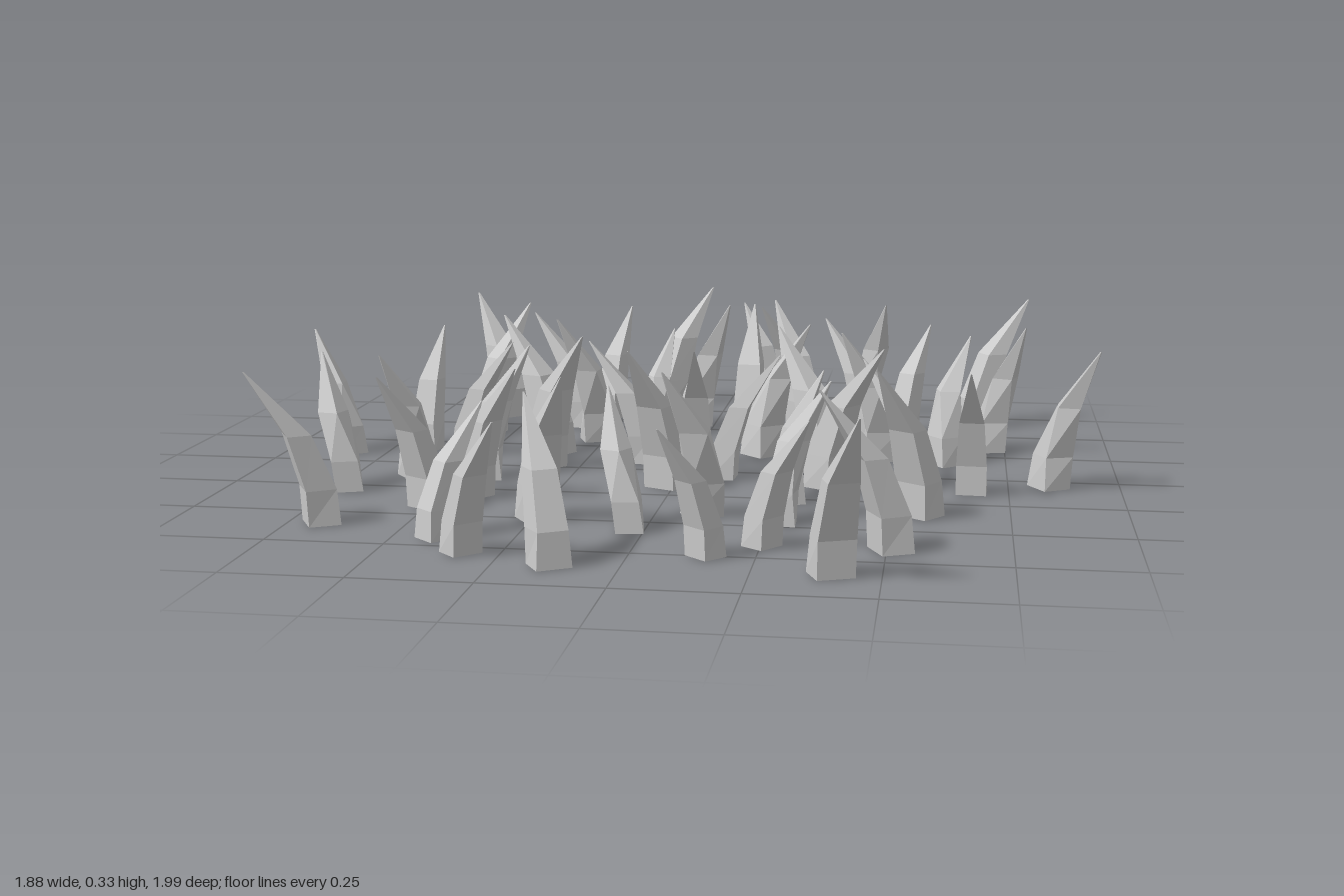
import * as THREE from 'three';

// Each blade: root x, root z, tip x, tip z (hundredths of a unit)
const STRAIGHT = [
  [-18, -81, -5, -93], [13, -89, 3, -100], [22, -83, 11, -71], [-54, -60, -67, -72],
  [-30, -60, -25, -75], [-31, -50, -47, -53], [-59, -38, -48, -52], [26, -52, 15, -66],
  [48, -45, 56, -58], [65, -62, 81, -71], [11, -33, 11, -52], [45, -35, 30, -43],
  [-67, -13, -65, -29], [-31, -14, -48, -23], [-58, -14, -43, -10], [-8, -9, -24, -9],
  [2, -12, 3, 4], [35, -1, 21, -13], [-36, -3, -22, 10], [7, 5, 23, 6],
  [31, 9, 47, 19], [57, 11, 42, 6], [67, 10, 66, 26], [0, 13, -8, 30],
  [-45, 30, -31, 39], [-48, 40, -57, 54], [58, 33, 47, 48], [-26, 47, -16, 62],
  [-65, 58, -81, 67], [-43, 71, -33, 60], [-35, 77, -24, 88], [-12, 89, -21, 74],
  [17, 73, 7, 84], [23, 64, 35, 73], [54, 64, 37, 72], [39, 82, 46, 99],
];
const TWISTED = [
  [38, -79, 44, -69], [-5, -56, 5, -48], [-27, -33, -35, -24], [-11, -36, -9, -46],
  [16, -21, 28, -17], [45, -19, 36, -11], [71, -34, 79, -25], [61, -16, 66, -26],
  [-84, -10, -94, -15], [84, 5, 94, 12], [-61, 13, -66, 23], [-44, 14, -35, 7],
  [-72, 29, -80, 21], [27, 28, 34, 20], [10, 42, 3, 52], [27, 47, 37, 42], [-3, 57, -9, 48],
];

// Cross-sections: height, side offset, forward offset, width, depth, yaw in degrees
const STRAIGHT_RINGS = [
  [0, 0, 0.033, 0.075, 0.066, 0],
  [0.075, 0, 0.038, 0.076, 0.064, 0],
  [0.19, 0, 0.078, 0.062, 0.05, 0],
  [0.325, 0, 0.18, 0.003, 0.003, 0],
];
const TWISTED_RINGS = [
  [0, 0, 0, 0.075, 0.066, 65],
  [0.075, 0.006, 0.004, 0.076, 0.064, 60],
  [0.19, 0.016, 0.038, 0.062, 0.05, 32],
  [0.325, 0, 0.123, 0.003, 0.003, 0],
];

// Loft a four-sided blade through the cross-sections; the inner side is a little narrower
function bladeGeometry(rings) {
  const pos = [];
  const index = [];
  rings.forEach(([y, ox, oz, w, d, deg], r) => {
    const a = THREE.MathUtils.degToRad(deg);
    const back = r === 0 ? 1 : 0.85;
    for (const [sx, sz] of [[-1, 1], [1, 1], [back, -1], [-back, -1]]) {
      const x = (sx * w) / 2;
      const z = (sz * d) / 2;
      pos.push(ox + x * Math.cos(a) + z * Math.sin(a), y, oz - x * Math.sin(a) + z * Math.cos(a));
    }
    if (r === 0) return;
    for (let i = 0; i < 4; i++) {
      const j = (i + 1) % 4;
      const lo = (r - 1) * 4;
      const hi = r * 4;
      index.push(lo + i, lo + j, hi + j, lo + i, hi + j, hi + i);
    }
  });
  const top = (rings.length - 1) * 4;
  index.push(0, 2, 1, 0, 3, 2, top, top + 1, top + 2, top, top + 2, top + 3);
  const geo = new THREE.BufferGeometry();
  geo.setAttribute('position', new THREE.Float32BufferAttribute(pos, 3));
  geo.setIndex(index);
  const flat = geo.toNonIndexed();
  flat.computeVertexNormals();
  return flat;
}

export function createModel() {
  const model = new THREE.Group();
  model.name = 'grassPatch';
  const material = new THREE.MeshStandardMaterial({ color: 0xcccccc, flatShading: true });

  // Plant every blade at its root, turned and scaled so it reaches its tip
  const plant = (name, blades, rings) => {
    const group = new THREE.Group();
    group.name = name + 's';
    const geo = bladeGeometry(rings);
    const reach = rings[rings.length - 1][2];
    for (const [x, z, tx, tz] of blades) {
      const blade = new THREE.Mesh(geo, material);
      const scale = Math.hypot(tx - x, tz - z) / 100 / reach;
      blade.name = name;
      blade.position.set(x / 100, 0, z / 100);
      blade.rotation.y = Math.atan2(tx - x, tz - z);
      blade.scale.set(scale, Math.min(scale, 1.01), scale);
      group.add(blade);
    }
    model.add(group);
  };
  plant('straightBlade', STRAIGHT, STRAIGHT_RINGS);
  plant('twistedBlade', TWISTED, TWISTED_RINGS);
  return model;
}
